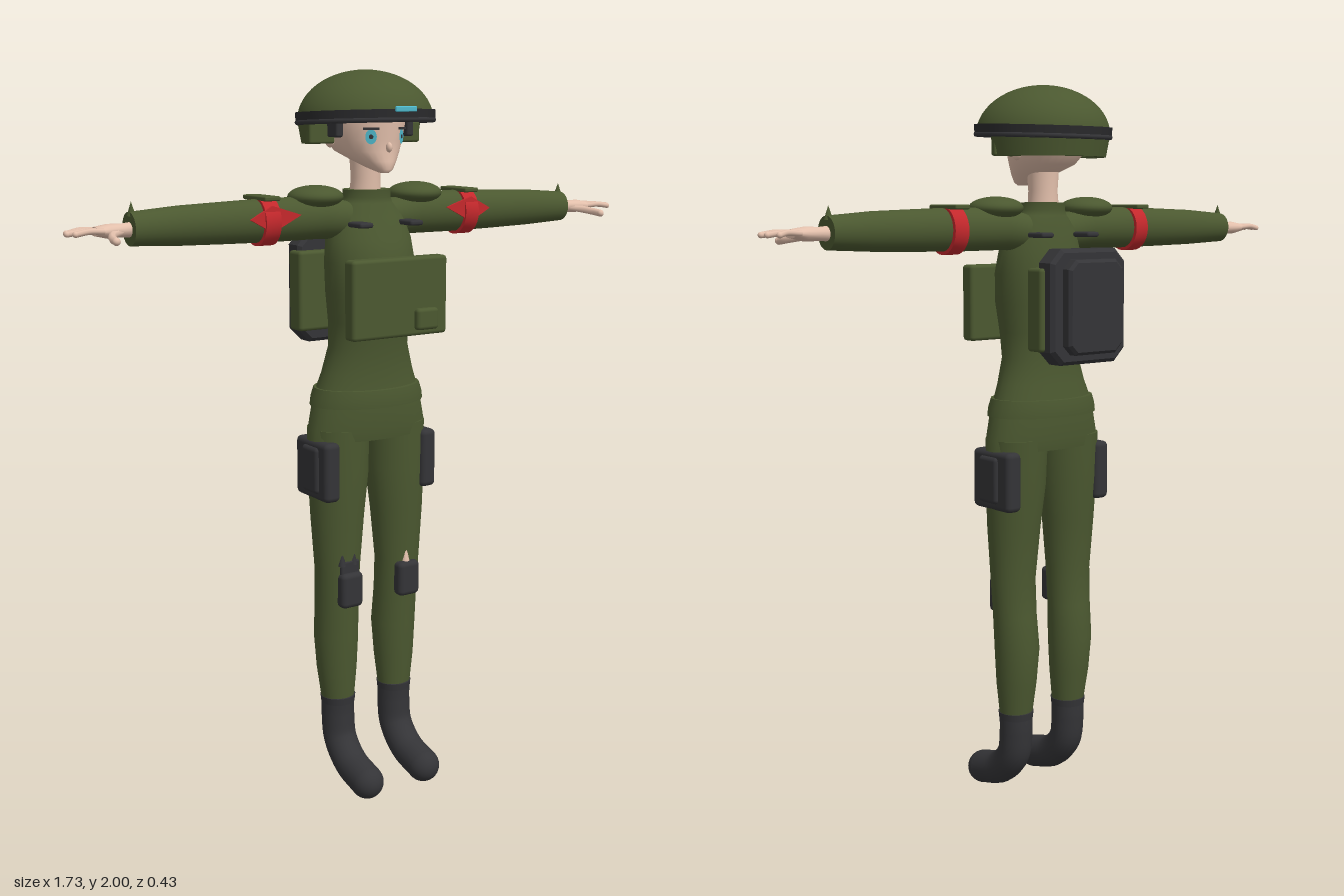
import * as THREE from 'three';
import { RoundedBoxGeometry } from 'three/addons/geometries/RoundedBoxGeometry.js';

const V = (x, y, z) => new THREE.Vector3(x, y, z);
const material = (name, color, side = THREE.FrontSide) => {
  const m = new THREE.MeshStandardMaterial({ color, side });
  m.name = name;
  return m;
};

// Closed skin through elliptical rings; each ring is [x, y, z, radiusU, radiusV].
function loft(rings, u, v, n = 28) {
  const pos = [], idx = [], p = V();
  const ring = ([x, y, z, a, b]) => {
    for (let j = 0; j < n; j++) {
      const t = (j / n) * Math.PI * 2;
      p.set(x, y, z).addScaledVector(u, a * Math.cos(t)).addScaledVector(v, b * Math.sin(t));
      pos.push(p.x, p.y, p.z);
    }
  };
  rings.forEach(ring);
  for (let i = 0; i < rings.length - 1; i++) {
    for (let j = 0; j < n; j++) {
      const a = i * n + j, b = i * n + (j + 1) % n;
      idx.push(a, b, b + n, a, b + n, a + n);
    }
  }
  for (const end of [0, rings.length - 1]) {
    const s = pos.length / 3;
    ring(rings[end]);
    pos.push(...rings[end].slice(0, 3));
    for (let j = 0; j < n; j++) {
      const a = s + j, b = s + (j + 1) % n;
      idx.push(s + n, ...(end ? [a, b] : [b, a]));
    }
  }
  const g = new THREE.BufferGeometry();
  g.setAttribute('position', new THREE.Float32BufferAttribute(pos, 3));
  g.setIndex(idx);
  g.computeVertexNormals();
  return g;
}
const loftY = (rings, n) => loft(rings, V(0, 0, 1), V(1, 0, 0), n);
const loftX = (rings, n) => loft(rings, V(0, 1, 0), V(0, 0, 1), n);

const box = (w, h, d, r = 0.01) => new RoundedBoxGeometry(w, h, d, 2, r);
const ball = (x, y, z) => new THREE.SphereGeometry(1, 28, 16).scale(x, y, z);
const tube = (pts, r, n = 10) => new THREE.TubeGeometry(new THREE.CatmullRomCurve3(pts), 20, r, n);

// Slab with cut corners and a bevelled rear face
function slab(w, h, d, cut, bevel) {
  const x = w / 2 - bevel, y = h / 2 - bevel;
  const s = new THREE.Shape([[-x + cut, -y], [x - cut, -y], [x, -y + cut], [x, y - cut],
    [x - cut, y], [-x + cut, y], [-x, y - cut], [-x, -y + cut]].map(q => new THREE.Vector2(...q)));
  return new THREE.ExtrudeGeometry(s, { depth: d - 2 * bevel, bevelSize: bevel, bevelThickness: bevel, bevelSegments: 1 })
    .translate(0, 0, bevel - d / 2);
}

function add(group, name, geometry, mat, x = 0, y = 0, z = 0, rx = 0, ry = 0, rz = 0) {
  const m = new THREE.Matrix4().makeRotationFromEuler(new THREE.Euler(rx, ry, rz)).setPosition(x, y, z);
  const mesh = new THREE.Mesh(geometry.applyMatrix4(m), mat);
  mesh.name = name;
  group.add(mesh);
}

// Copy of a left-hand group reflected across x = 0
function mirrored(group, name) {
  const out = new THREE.Group();
  out.name = name;
  for (const m of group.children) {
    const g = m.geometry.clone().scale(-1, 1, 1);
    const src = g.index ? Array.from(g.index.array) : Array.from({ length: g.attributes.position.count }, (_, i) => i);
    for (let i = 0; i < src.length; i += 3) [src[i + 1], src[i + 2]] = [src[i + 2], src[i + 1]];
    g.setIndex(src);
    add(out, m.name, g, m.material);
  }
  return out;
}

export function createModel() {
  const root = new THREE.Group();
  root.name = 'soldier';
  const green = material('olive cloth', 0x4b5830);
  const shell = material('olive shell', 0x4b5830, THREE.DoubleSide);
  const dark = material('dark gear', 0x343437);
  const darkBand = material('dark band', 0x2a2a2c, THREE.DoubleSide);
  const skin = material('skin', 0xe2bfab);
  const red = material('red armband', 0xc4282c);
  const cyan = material('cyan', 0x4fb9cc);
  const group = name => { const g = new THREE.Group(); g.name = name; return g; };

  // Body
  const body = group('body');
  add(body, 'jacket', loftY([
    [0, 1.02, 0.015, 0.095, 0.185], [0, 1.05, 0.015, 0.1, 0.182], [0, 1.11, 0.015, 0.102, 0.168],
    [0, 1.16, 0.015, 0.098, 0.152], [0, 1.2, 0.018, 0.092, 0.137], [0, 1.27, 0.022, 0.09, 0.116],
    [0, 1.34, 0.027, 0.098, 0.117], [0, 1.42, 0.031, 0.107, 0.126], [0, 1.5, 0.03, 0.104, 0.13],
    [0, 1.56, 0.024, 0.09, 0.125], [0, 1.62, 0.017, 0.075, 0.105], [0, 1.655, 0.015, 0.062, 0.072],
    [0, 1.67, 0.015, 0.06, 0.066], [0, 1.69, 0.015, 0.062, 0.066]]), green);
  add(body, 'hipBelt', loftY([[0, 1.112, 0.015, 0.115, 0.171], [0, 1.135, 0.015, 0.116, 0.167],
    [0, 1.16, 0.015, 0.112, 0.158]]), green);
  add(body, 'neck', loftY([[0, 1.66, 0.008, 0.043, 0.044], [0, 1.72, 0.01, 0.041, 0.039], [0, 1.8, 0.01, 0.045, 0.045]]), skin);
  root.add(body);

  // Chest plate and backpack
  const pack = group('packs');
  add(pack, 'chestPlate', box(0.302, 0.21, 0.045), green, -0.003, 1.415, 0.162);
  add(pack, 'chestPouch', box(0.07, 0.058, 0.03), green, 0.075, 1.355, 0.187);
  add(pack, 'backPlate', box(0.29, 0.22, 0.06), green, 0, 1.41, -0.125);
  add(pack, 'backpack', slab(0.262, 0.305, 0.065, 0.03, 0.01), dark, 0, 1.417, -0.153);
  add(pack, 'backpackCover', slab(0.19, 0.25, 0.04, 0.02, 0.008), dark, 0, 1.417, -0.195);
  root.add(pack);

  // Head and face
  const head = group('head');
  add(head, 'face', loftY([
    [0, 1.736, 0.098, 0.016, 0.012], [0, 1.745, 0.085, 0.037, 0.028], [0, 1.765, 0.052, 0.07, 0.052],
    [0, 1.79, 0.015, 0.103, 0.079], [0, 1.82, 0, 0.118, 0.095], [0, 1.86, -0.004, 0.126, 0.106],
    [0, 1.9, -0.002, 0.125, 0.106], [0, 1.94, 0, 0.08, 0.07]]), skin);
  add(head, 'nose', ball(0.008, 0.013, 0.01), skin, 0, 1.802, 0.121);
  for (const s of [1, -1]) {
    add(head, 'eye', new THREE.CircleGeometry(1, 20).scale(0.015, 0.019, 1), cyan, s * 0.048, 1.829, 0.108, 0, s * 0.62);
    add(head, 'pupil', new THREE.CircleGeometry(0.006, 14), dark, s * 0.0485, 1.829, 0.109, 0, s * 0.62);
    add(head, 'eyelash', new THREE.BoxGeometry(0.042, 0.006, 0.006), dark, s * 0.049, 1.85, 0.111, 0, s * 0.62);
    add(head, 'ear', ball(0.012, 0.025, 0.018), skin, s * 0.103, 1.825, -0.005);
    add(head, 'earPad', box(0.022, 0.045, 0.05, 0.006), dark, s * 0.112, 1.85, 0.035);
  }
  root.add(head);

  // Helmet: dome, band, rear skirt and front lamp
  const helmet = group('helmet');
  add(helmet, 'dome', new THREE.SphereGeometry(1, 40, 14, 0, Math.PI * 2, 0, Math.PI / 2).scale(0.182, 0.132, 0.181), shell, 0, 1.868, 0.009);
  add(helmet, 'band', new THREE.CylinderGeometry(0.187, 0.185, 0.032, 40, 1, true), darkBand, 0, 1.877, 0.009, -0.04);
  add(helmet, 'bandEdge', new THREE.TorusGeometry(0.181, 0.007, 8, 40).rotateX(Math.PI / 2), dark, 0, 1.867, 0.009, -0.04);
  add(helmet, 'rearSkirt', new THREE.CylinderGeometry(0.181, 0.17, 0.06, 30, 1, true, Math.PI / 2, Math.PI), shell, 0, 1.84, 0.009);
  add(helmet, 'skirtRim', new THREE.RingGeometry(0.145, 0.17, 30, 1, 0, Math.PI).rotateX(-Math.PI / 2), shell, 0, 1.81, 0.009);
  for (const s of [1, -1]) add(helmet, 'sideFlap', box(0.078, 0.055, 0.02, 0.006), green, s * 0.137, 1.838, 0.004);
  add(helmet, 'lamp', box(0.066, 0.014, 0.008, 0.003), cyan, 0, 1.9, 0.197);
  root.add(helmet);

  // Left arm
  const arm = group('leftArm');
  add(arm, 'sleeve', loftX([
    [0.06, 1.61, 0.015, 0.05, 0.05], [0.15, 1.62, 0.012, 0.056, 0.052], [0.3, 1.62, 0.01, 0.057, 0.05],
    [0.42, 1.619, 0.01, 0.054, 0.048], [0.56, 1.618, 0.008, 0.05, 0.044], [0.69, 1.616, 0.005, 0.042, 0.04]]), green);
  add(arm, 'cuffTip', new THREE.ConeGeometry(0.012, 0.035, 8), green, 0.683, 1.665, 0.005);
  add(arm, 'armband', loftX([[0.296, 1.618, 0.01, 0.063, 0.06], [0.34, 1.618, 0.01, 0.063, 0.06]]), red);
  add(arm, 'armbandTop', box(0.046, 0.012, 0.118, 0.004), green, 0.318, 1.678, 0.006);
  const patch = new THREE.Shape([[-0.085, 0.012], [0, -0.03], [0.065, 0.005], [0, 0.038]].map(q => new THREE.Vector2(...q)));
  add(arm, 'armbandPoint', new THREE.ExtrudeGeometry(patch, { depth: 0.008, bevelEnabled: false }), red, 0.318, 1.622, 0.056);
  add(arm, 'shoulderPad', ball(0.075, 0.03, 0.072), green, 0.16, 1.675, 0.013);
  add(arm, 'frontClip', box(0.042, 0.014, 0.065, 0.006), dark, 0.08, 1.604, 0.107);
  add(arm, 'backClip', box(0.042, 0.014, 0.065, 0.006), dark, 0.08, 1.604, -0.077);
  // Hand with spread fingers
  add(arm, 'palm', loftX([[0.67, 1.615, 0.005, 0.02, 0.02], [0.71, 1.614, 0.006, 0.017, 0.019],
    [0.75, 1.614, 0.011, 0.018, 0.028], [0.785, 1.615, 0.013, 0.011, 0.03]], 16), skin);
  [[-0.012, 0.832], [0.005, 0.853], [0.021, 0.859], [0.036, 0.845]].forEach(([z, tip]) => {
    const end = V(tip, 1.613, z * 1.25 - 0.003);
    add(arm, 'finger', tube([V(0.77, 1.616, z), V(0.81, 1.618, z * 1.1), end], 0.0075, 8), skin);
    add(arm, 'fingertip', ball(0.0075, 0.0075, 0.0075), skin, ...end);
  });
  add(arm, 'thumb', tube([V(0.71, 1.612, 0.012), V(0.745, 1.607, 0.035), V(0.763, 1.601, 0.07), V(0.767, 1.597, 0.1)], 0.01, 8), skin);
  add(arm, 'thumbTip', ball(0.01, 0.01, 0.01), skin, 0.767, 1.597, 0.1);
  root.add(arm, mirrored(arm, 'rightArm'));

  // Left leg
  const leg = group('leftLeg');
  add(leg, 'trouserLeg', loftY([
    [0.097, 0.25, 0.014, 0.043, 0.047], [0.098, 0.35, 0.01, 0.055, 0.058], [0.098, 0.45, 0.007, 0.062, 0.064],
    [0.1, 0.55, 0.014, 0.059, 0.063], [0.101, 0.65, 0.02, 0.058, 0.066], [0.099, 0.8, 0.018, 0.07, 0.077],
    [0.094, 0.92, 0.015, 0.08, 0.086], [0.092, 1.05, 0.013, 0.085, 0.087]]), green);
  add(leg, 'boot', tube([V(0.097, 0.265, 0.014), V(0.097, 0.2, 0.014), V(0.097, 0.135, 0.025),
    V(0.097, 0.078, 0.08), V(0.097, 0.051, 0.165)], 0.047, 20), dark);
  add(leg, 'bootTop', new THREE.CylinderGeometry(0.05, 0.048, 0.02, 24), dark, 0.097, 0.255, 0.014);
  add(leg, 'toe', ball(0.047, 0.047, 0.047), dark, 0.097, 0.051, 0.165);
  add(leg, 'kneePad', box(0.07, 0.1, 0.04, 0.014), dark, 0.096, 0.596, 0.077);
  add(leg, 'thighPlate', box(0.05, 0.165, 0.16, 0.015), dark, 0.159, 0.94, 0.016);
  add(leg, 'thighPouch', box(0.03, 0.13, 0.08, 0.012), dark, 0.178, 0.942, 0.02);
  root.add(leg, mirrored(leg, 'rightLeg'));

  // Torn cloth above the knees
  add(root, 'leftKneeTear', new THREE.ConeGeometry(0.014, 0.06, 8), skin, 0.094, 0.665, 0.075);
  add(root, 'rightKneeWrap', box(0.06, 0.05, 0.016, 0.006), dark, -0.096, 0.655, 0.074);
  for (const x of [-0.12, -0.083]) add(root, 'rightKneeTear', new THREE.ConeGeometry(0.012, 0.05, 8), dark, x, 0.692, 0.074);
  return root;
}
